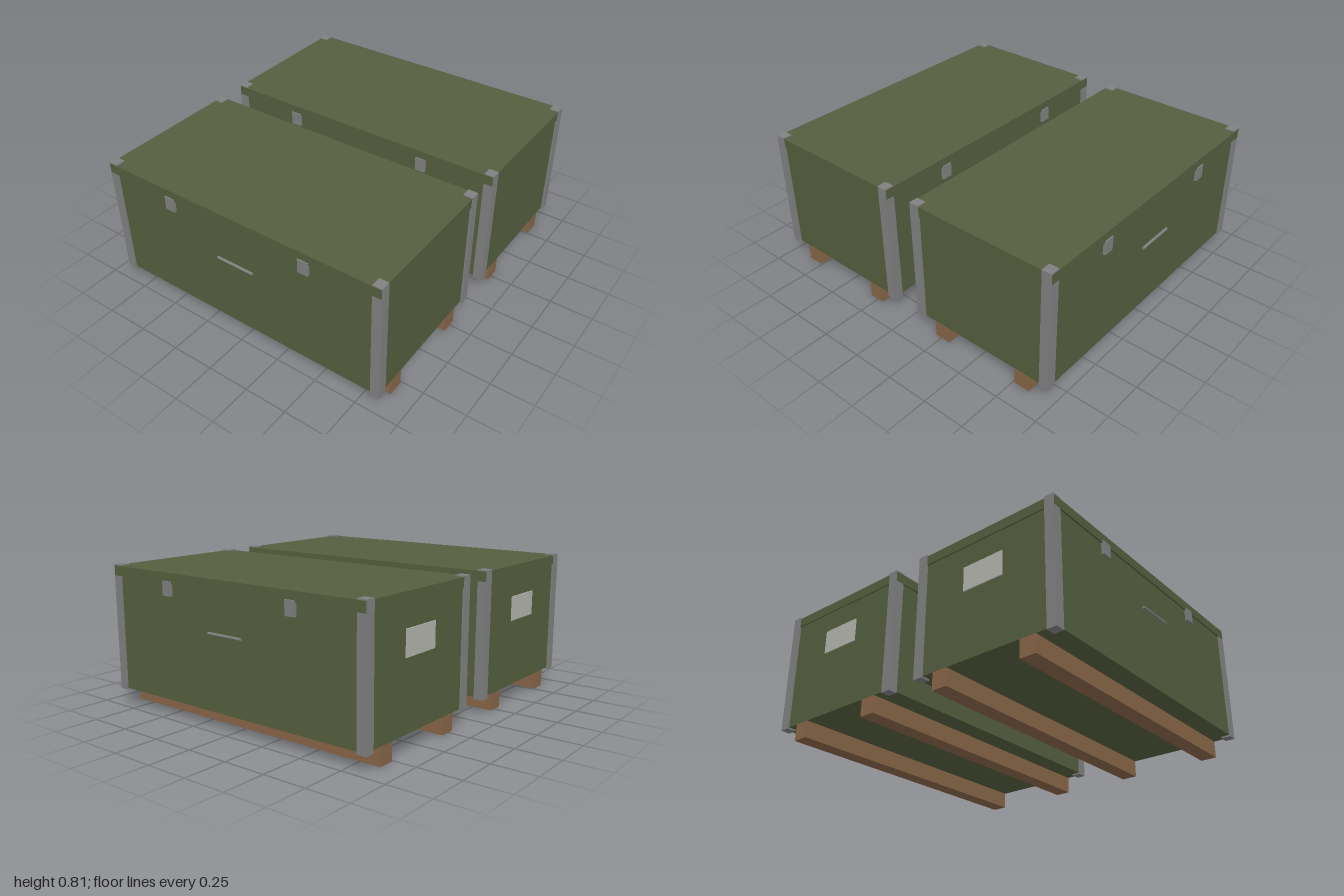
import * as THREE from 'three';

const mat = (name, color) => {
  const m = new THREE.MeshStandardMaterial({ color });
  m.name = name;
  return m;
};

export function createModel() {
  const green = mat('olive paint', 0x545e3e);
  const grey = mat('grey metal', 0x808080);
  const wood = mat('brown wood', 0x876547);
  const pale = mat('pale label', 0xb4b4ac);

  const add = (parent, name, geometry, material, x, y, z) => {
    const mesh = new THREE.Mesh(geometry, material);
    mesh.name = name;
    mesh.position.set(x, y, z);
    parent.add(mesh);
    return mesh;
  };
  const box = (w, h, d) => new THREE.BoxGeometry(w, h, d);

  const bodyGeo = box(0.876, 0.65, 1.738);
  const lidGeo = box(0.892, 0.056, 1.752);
  const skidGeo = box(0.094, 0.1, 1.738);
  const postGeo = box(0.056, 0.722, 0.056);
  const latchGeo = box(0.02, 0.08, 0.062);
  const handleGeo = new THREE.CylinderGeometry(0.008, 0.008, 0.23, 8).rotateX(Math.PI / 2);
  const labelGeo = box(0.25, 0.14, 0.008);

  const makeCrate = (name, x) => {
    const crate = new THREE.Group();
    crate.name = name;
    crate.position.x = x;

    // Box and overhanging lid
    add(crate, 'body', bodyGeo, green, 0, 0.425, 0);
    add(crate, 'lid', lidGeo, green, 0, 0.777, 0);

    for (const sx of [-1, 1]) {
      // Floor runner and carrying bar on each long side
      add(crate, 'skid', skidGeo, wood, sx * 0.274, 0.05, 0);
      add(crate, 'handle', handleGeo, grey, sx * 0.459, 0.525, 0);
      for (const sz of [-1, 1]) {
        // Metal corner posts and lid latches
        add(crate, 'cornerPost', postGeo, grey, sx * 0.417, 0.451, sz * 0.852);
        add(crate, 'latch', latchGeo, grey, sx * 0.443, 0.72, sz * 0.435);
      }
    }

    // Blank plate on the back
    add(crate, 'backLabel', labelGeo, pale, 0, 0.555, -0.872);
    return crate;
  };

  const model = new THREE.Group();
  model.name = 'storageCrates';
  model.add(makeCrate('rightCrate', -0.533), makeCrate('leftCrate', 0.533));
  return model;
}
